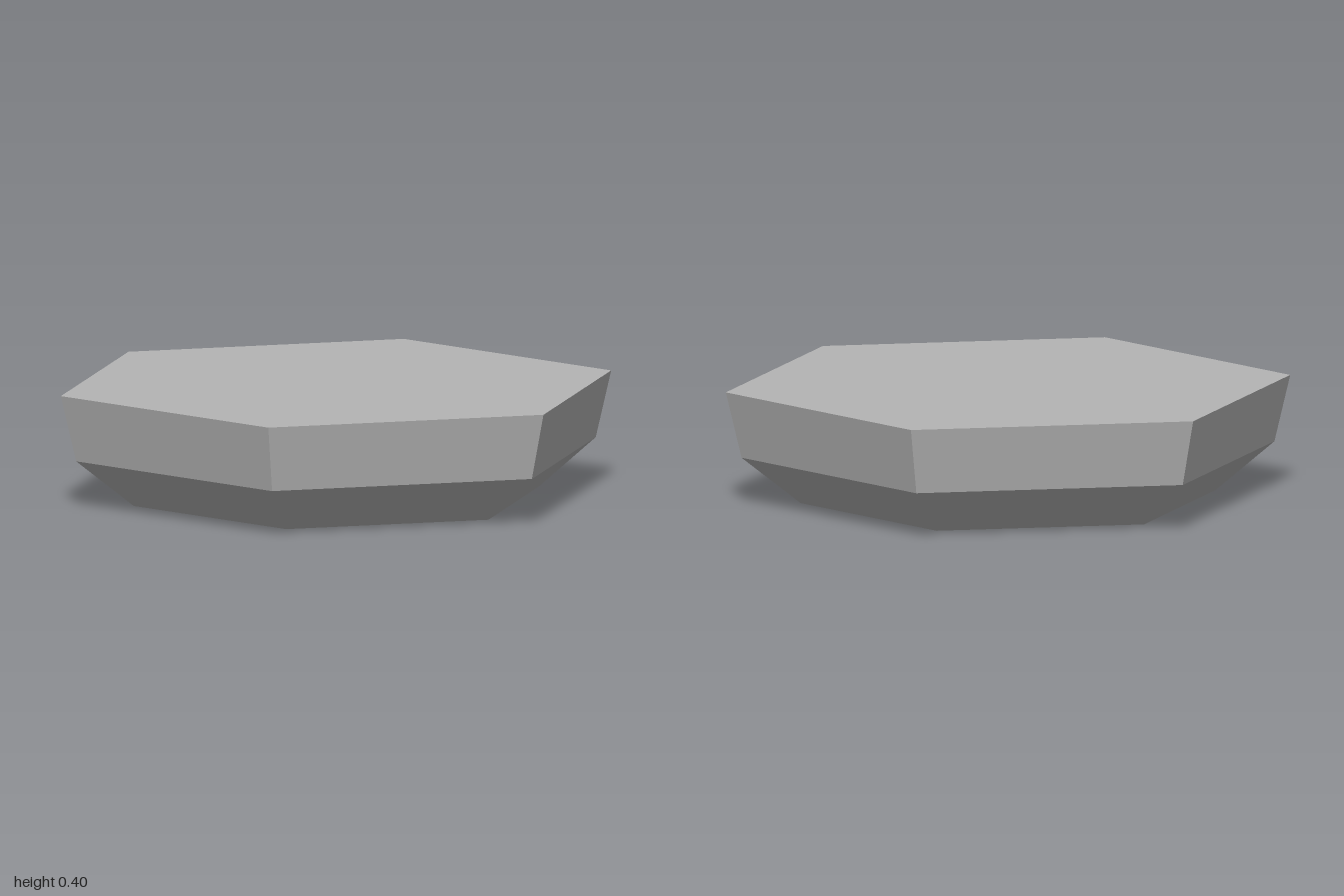
import * as THREE from 'three';

const SIDES = 6;
// A corner points almost along +x, with a slight twist about the vertical axis
const START = THREE.MathUtils.degToRad(30 - 0.8);

export function createModel() {
  const model = new THREE.Group();
  model.name = 'hexagonalTile';
  const grey = new THREE.MeshStandardMaterial({ color: 0xb4b4b4, flatShading: true });
  grey.name = 'grey';

  const add = (name, geometry, y) => {
    const mesh = new THREE.Mesh(geometry, grey);
    mesh.name = name;
    mesh.position.y = y;
    model.add(mesh);
    return mesh;
  };

  // Tapered band open at both ends, from height y0 to y1
  const band = (name, r0, r1, y0, y1) =>
    add(name, new THREE.CylinderGeometry(r1, r0, y1 - y0, SIDES, 1, true, START), (y0 + y1) / 2);

  // Flat hexagonal cap whose corners line up with the bands
  const cap = (name, radius, y, facing) => {
    const geometry = new THREE.CircleGeometry(radius, SIDES, Math.PI / 3 - facing * THREE.MathUtils.degToRad(0.8));
    geometry.rotateX(-facing * Math.PI / 2);
    return add(name, geometry, y);
  };

  cap('base', 0.735, 0, -1);
  band('lowerBevel', 0.735, 0.944, 0, 0.167);
  band('upperSides', 0.944, 1, 0.167, 0.4);
  cap('topSurface', 1, 0.4, 1);
  return model;
}
